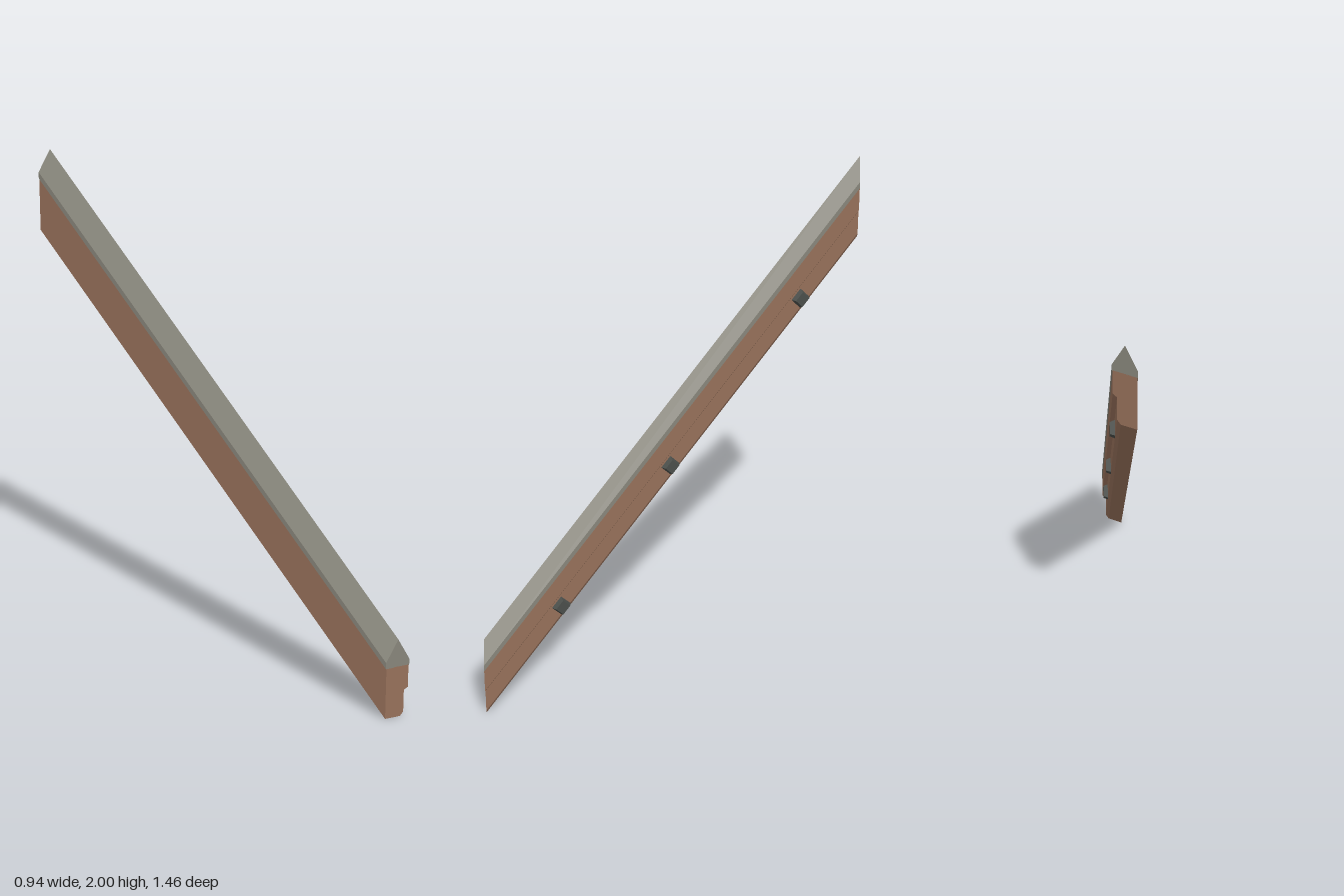
import * as THREE from 'three';

export function createModel() {
  const group = new THREE.Group();
  group.name = 'slopedBeam';
  const mat = (name, color) => {
    const m = new THREE.MeshStandardMaterial({ color });
    m.name = name;
    return m;
  };
  const wood = mat('brownWood', 0x96705a);
  const cap = mat('greyCap', 0x87857a);
  const metal = mat('darkMetal', 0x4a4e4a);

  // Upright cross-sections are swept along a slanted axis, with both ends cut square to z
  const origin = new THREE.Vector3(-0.47, 1.675, -0.73);
  const sweep = new THREE.Vector3(0.835, -1.675, 1.46);
  const shear = new THREE.Matrix4().makeBasis(
    new THREE.Vector3(1, 0, 0), new THREE.Vector3(0, 1, 0), sweep).setPosition(origin);

  function addSweep(name, points, material) {
    const shape = new THREE.Shape(points.map(p => new THREE.Vector2(...p)));
    const geo = new THREE.ExtrudeGeometry(shape, { depth: 1, bevelEnabled: false });
    geo.applyMatrix4(shear);
    const mesh = new THREE.Mesh(geo, material);
    mesh.name = name;
    group.add(mesh);
  }

  // Wooden body: chamfered lower edge and a stepped ledge on the left side
  addSweep('woodBeam', [
    [0.002, 0], [0.066, 0], [0.08, 0.016], [0.08, 0.108],
    [0.097, 0.118], [0.097, 0.212], [0.002, 0.212],
  ], wood);

  // Pitched cap along the top
  addSweep('ridgeCap', [
    [0, 0.21], [0.1, 0.21], [0.1, 0.236], [0.05, 0.325], [0, 0.236],
  ], cap);

  // Tapered square studs on the recessed lower band
  const along = sweep.clone().normalize();
  const out = new THREE.Vector3(sweep.z, 0, -sweep.x).normalize();
  const across = new THREE.Vector3().crossVectors(along, out);
  const height = 0.03;
  for (const z of [0.435, 0.007, -0.503]) {
    const geo = new THREE.CylinderGeometry(0.031, 0.046, height, 4).toNonIndexed();
    geo.rotateY(Math.PI / 4);
    geo.computeVertexNormals();
    const centre = origin.clone().addScaledVector(sweep, (z + 0.73) / 1.46);
    centre.add(new THREE.Vector3(0.08, 0.056, 0)).addScaledVector(out, 0.0185 - height / 2);
    geo.applyMatrix4(new THREE.Matrix4().makeBasis(across, out, along.clone().negate()).setPosition(centre).multiply(
      new THREE.Matrix4()));
    const mesh = new THREE.Mesh(geo, metal);
    mesh.name = 'stud';
    group.add(mesh);
  }
  return group;
}
